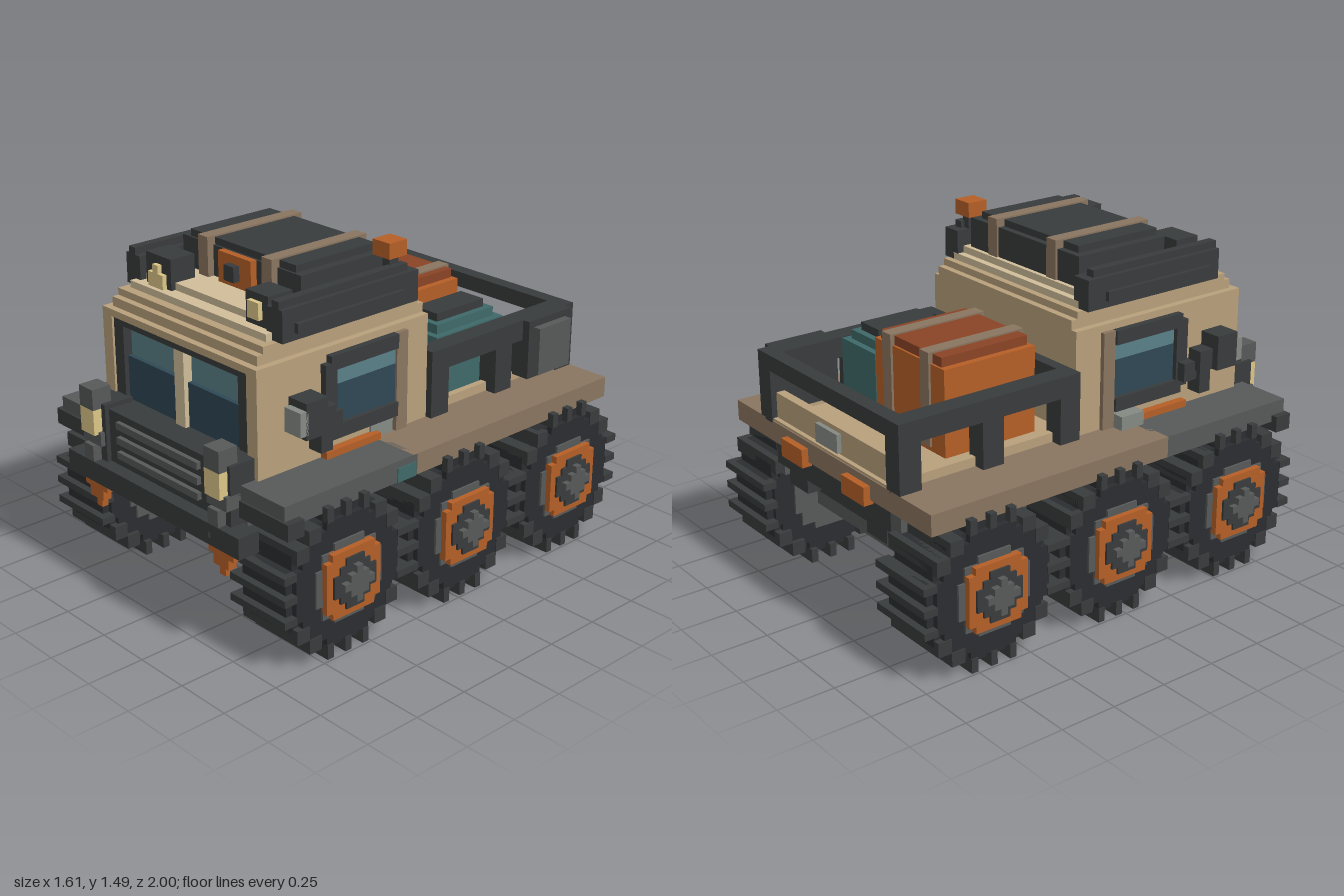
import * as THREE from 'three';

const C = {
  tan: 0xb8a07c, light: 0xd0bd9a, brown: 0x8a7560, dark: 0x383b3c, tire: 0x2a2d30, grey: 0x565957,
  pale: 0x858a84, orange: 0xb55f27, rust: 0x8a4426, teal: 0x3f6868, glass: 0x2f4854, sky: 0x5a8088, lamp: 0xdcc687,
};
const mats = {};
const mat = (c) => (mats[c] ??= new THREE.MeshStandardMaterial({ color: C[c], flatShading: true }));

// Box given by its limits on each axis
function box(parent, name, color, x0, x1, y0, y1, z0, z1) {
  const m = new THREE.Mesh(new THREE.BoxGeometry(x1 - x0, y1 - y0, z1 - z0), mat(color));
  m.position.set((x0 + x1) / 2, (y0 + y1) / 2, (z0 + z1) / 2);
  m.name = name;
  parent.add(m);
}
// The same box on both sides
function pair(parent, name, color, x0, x1, ...r) {
  box(parent, name, color, x0, x1, ...r);
  box(parent, name, color, -x1, -x0, ...r);
}
function group(parent, name) {
  const g = new THREE.Group();
  g.name = name;
  parent.add(g);
  return g;
}

// Blocky disc: each row of cells that pass the test becomes a few boxes
const V = 0.031;
function blockDisc(parent, name, color, x0, x1, test) {
  for (let j = -10; j <= 10; j++) {
    let start = null;
    for (let i = -10; i <= 11; i++) {
      const inside = i <= 10 && test(Math.hypot(i, j), Math.atan2(j, i), i, j);
      if (inside && start === null) start = i;
      if (!inside && start !== null) {
        box(parent, name, color, x0, x1, (j - 0.5) * V, (j + 0.5) * V, (start - 0.5) * V, (i - 0.5) * V);
        start = null;
      }
    }
  }
}

function wheel() {
  const g = new THREE.Group();
  g.name = 'wheel';
  blockDisc(g, 'tire', 'tire', 0.46, 0.71, (r) => r < 9.5);
  blockDisc(g, 'treadLug', 'dark', 0.42, 0.74, (r, a) => r >= 8.6 && r < 10.6 && Math.cos(a * 20) > -0.15);
  blockDisc(g, 'sidewall', 'tire', 0.44, 0.735, (r) => r > 4 && r < 8.6);
  blockDisc(g, 'rim', 'grey', 0.43, 0.745, (r) => r < 5.7);
  blockDisc(g, 'hubRing', 'orange', 0.74, 0.77, (r, a, i, j) => Math.max(Math.abs(i), Math.abs(j)) <= 4 && r < 5.2 && r > 2.9);
  blockDisc(g, 'hubPlate', 'dark', 0.74, 0.78, (r) => r < 3.2);
  blockDisc(g, 'hubCap', 'grey', 0.77, 0.805, (r) => r < 2.1);
  return g;
}

function buildChassis(p) {
  const g = group(p, 'chassis');
  box(g, 'frame', 'dark', -0.42, 0.42, 0.52, 0.64, -0.92, 0.9);
  pair(g, 'frameRail', 'dark', 0.22, 0.36, 0.44, 0.53, -0.9, 0.9);
  for (const z of [0.615, -0.03, -0.67]) {
    box(g, 'axle', 'grey', -0.44, 0.44, 0.27, 0.36, z - 0.06, z + 0.06);
    box(g, 'axleBeam', 'dark', -0.44, 0.44, 0.36, 0.46, z - 0.09, z + 0.09);
    for (const s of [1, -1]) {
      const w = wheel();
      w.position.set(0, 0.325, z);
      if (s < 0) w.rotation.y = Math.PI;
      g.add(w);
    }
  }
  // Front fenders
  pair(g, 'fender', 'grey', 0.42, 0.71, 0.62, 0.71, 0.22, 0.91);
  pair(g, 'fenderLip', 'dark', 0.42, 0.74, 0.58, 0.65, 0.84, 0.92);
  pair(g, 'fenderLiner', 'grey', 0.4, 0.46, 0.46, 0.62, -0.9, 0.88);
  box(g, 'fenderPatch', 'teal', 0.68, 0.715, 0.62, 0.68, 0.23, 0.33);
}

function buildFront(p) {
  const g = group(p, 'frontEnd');
  box(g, 'bumper', 'dark', -0.55, 0.55, 0.46, 0.55, 0.9, 1.0);
  box(g, 'grille', 'dark', -0.33, 0.33, 0.55, 0.78, 0.82, 0.94);
  for (const y of [0.59, 0.655, 0.72]) box(g, 'grilleBar', 'grey', -0.26, 0.26, y, y + 0.03, 0.9, 0.96);
  pair(g, 'lampPost', 'dark', 0.33, 0.46, 0.55, 0.8, 0.82, 0.96);
  pair(g, 'lampFoot', 'grey', 0.37, 0.43, 0.49, 0.62, 0.94, 1.0);
  pair(g, 'lampFootWide', 'grey', 0.34, 0.46, 0.62, 0.68, 0.91, 0.98);
  pair(g, 'headlight', 'lamp', 0.355, 0.445, 0.67, 0.78, 0.92, 1.0);
  pair(g, 'lampTop', 'grey', 0.355, 0.445, 0.78, 0.87, 0.91, 1.0);
  pair(g, 'towHook', 'orange', 0.33, 0.48, 0.41, 0.46, 0.93, 0.97);
  pair(g, 'towHookMiddle', 'orange', 0.36, 0.45, 0.365, 0.41, 0.93, 0.97);
  pair(g, 'towHookTip', 'orange', 0.385, 0.42, 0.325, 0.37, 0.93, 0.96);
}

function buildCab(p) {
  const g = group(p, 'cab');
  box(g, 'cabBody', 'tan', -0.48, 0.48, 0.64, 1.16, -0.06, 0.76);
  pair(g, 'frontPillar', 'tan', 0.42, 0.48, 0.62, 1.16, 0.76, 0.84);
  box(g, 'windshieldHeader', 'tan', -0.48, 0.48, 1.13, 1.16, 0.76, 0.84);
  box(g, 'cowl', 'dark', -0.42, 0.42, 0.62, 0.78, 0.76, 0.84);
  // Windshield
  pair(g, 'windshieldFrame', 'dark', 0.36, 0.42, 0.78, 1.13, 0.76, 0.83);
  box(g, 'windshieldFrameTop', 'dark', -0.36, 0.36, 1.1, 1.13, 0.76, 0.83);
  box(g, 'windshield', 'glass', -0.36, 0.36, 0.78, 0.97, 0.76, 0.81);
  box(g, 'windshieldUpper', 'sky', -0.36, 0.36, 0.97, 1.1, 0.76, 0.79);
  box(g, 'windshieldPost', 'light', -0.03, 0.03, 0.78, 1.1, 0.76, 0.83);
  // Stepped roof
  box(g, 'roofStep', 'tan', -0.45, 0.45, 1.16, 1.2, -0.06, 0.81);
  box(g, 'roofStep', 'tan', -0.45, 0.45, 1.2, 1.23, -0.03, 0.78);
  box(g, 'roofTop', 'light', -0.42, 0.42, 1.23, 1.26, 0, 0.74);
  box(g, 'roofPanel', 'light', -0.39, 0.39, 1.26, 1.29, 0.03, 0.68);
  // Doors, one set per side
  pair(g, 'doorFrameTop', 'dark', 0.47, 0.51, 1.07, 1.13, 0.13, 0.49);
  pair(g, 'doorFrameFront', 'dark', 0.47, 0.51, 0.81, 1.1, 0.46, 0.52);
  pair(g, 'doorFrameBottom', 'dark', 0.47, 0.51, 0.78, 0.84, 0.13, 0.49);
  pair(g, 'sideWindow', 'glass', 0.47, 0.49, 0.84, 1.0, 0.13, 0.46);
  pair(g, 'sideWindowUpper', 'sky', 0.47, 0.49, 1.0, 1.07, 0.13, 0.46);
  pair(g, 'doorPillar', 'brown', 0.47, 0.5, 0.71, 1.13, 0.07, 0.13);
  pair(g, 'sill', 'orange', 0.47, 0.515, 0.7, 0.74, 0.23, 0.52);
  box(g, 'sillPatch', 'pale', -0.55, -0.47, 0.71, 0.77, 0.13, 0.25);
  box(g, 'sillPatch', 'pale', 0.47, 0.49, 0.71, 0.78, 0.14, 0.26);
  // Mirrors
  pair(g, 'mirrorArm', 'dark', 0.5, 0.55, 0.84, 0.92, 0.47, 0.54);
  pair(g, 'mirrorArm', 'dark', 0.51, 0.58, 0.88, 0.97, 0.53, 0.61);
  pair(g, 'mirrorHousing', 'dark', 0.51, 0.61, 0.88, 1.03, 0.6, 0.71);
  pair(g, 'mirrorGlass', 'pale', 0.52, 0.61, 0.9, 1.0, 0.7, 0.74);
  pair(g, 'mirrorBrace', 'dark', 0.5, 0.57, 0.78, 0.88, 0.54, 0.6);
}

function buildRoofLoad(p) {
  const g = group(p, 'roofLoad');
  pair(g, 'rackRail', 'dark', 0.39, 0.48, 1.23, 1.36, 0, 0.71);
  pair(g, 'rackRailTop', 'dark', 0.42, 0.46, 1.36, 1.39, 0.04, 0.71);
  pair(g, 'rackRailSide', 'dark', 0.45, 0.5, 1.26, 1.3, 0.09, 0.65);
  box(g, 'roofCrate', 'dark', -0.36, 0.36, 1.27, 1.42, 0.05, 0.51);
  box(g, 'roofCrateLid', 'dark', -0.32, 0.32, 1.42, 1.45, 0.08, 0.5);
  pair(g, 'roofStrap', 'brown', 0.165, 0.225, 1.28, 1.457, 0.04, 0.54);
  box(g, 'roofLatch', 'orange', -0.1, 0.1, 1.29, 1.42, 0.48, 0.54);
  box(g, 'roofLatchCore', 'dark', -0.03, 0.03, 1.32, 1.385, 0.53, 0.57);
  // Roof lamps and beacon
  box(g, 'lampHousing', 'dark', 0.26, 0.39, 1.26, 1.39, 0.58, 0.7);
  box(g, 'roofLamp', 'lamp', 0.29, 0.355, 1.29, 1.36, 0.69, 0.72);
  box(g, 'lampHousing', 'dark', -0.36, -0.2, 1.26, 1.39, 0.58, 0.7);
  box(g, 'roofLamp', 'lamp', -0.325, -0.23, 1.26, 1.32, 0.69, 0.72);
  box(g, 'roofLampTip', 'lamp', -0.295, -0.26, 1.32, 1.355, 0.69, 0.72);
  box(g, 'beaconPost', 'dark', 0.39, 0.43, 1.36, 1.43, 0.06, 0.11);
  box(g, 'beacon', 'orange', 0.355, 0.45, 1.42, 1.485, 0.035, 0.13);
}

function buildBed(p) {
  const g = group(p, 'bed');
  box(g, 'bedFloor', 'tan', -0.44, 0.44, 0.63, 0.72, -0.93, -0.05);
  pair(g, 'bedEdge', 'brown', 0.42, 0.71, 0.62, 0.71, -0.935, 0.24);
  box(g, 'bedEdgeRear', 'brown', -0.44, 0.44, 0.62, 0.71, -0.935, -0.9);
  pair(g, 'bedSideTrim', 'tan', 0.43, 0.46, 0.7, 0.75, -0.9, -0.06);
  box(g, 'tailgate', 'tan', -0.43, 0.43, 0.71, 0.83, -0.91, -0.87);
  box(g, 'tailPlate', 'pale', -0.07, 0.09, 0.73, 0.81, -0.93, -0.9);
  pair(g, 'tailLight', 'orange', 0.145, 0.305, 0.6, 0.68, -0.965, -0.92);
  // Rail cage
  pair(g, 'bedRail', 'dark', 0.42, 0.51, 0.91, 1.0, -0.935, -0.06);
  box(g, 'bedRailRear', 'dark', -0.42, 0.42, 0.93, 1.0, -0.935, -0.87);
  box(g, 'bedRailFront', 'dark', -0.42, 0.42, 0.91, 1.0, -0.11, -0.06);
  for (const z of [-0.16, -0.545, -0.935]) pair(g, 'bedPost', 'dark', 0.42, 0.51, 0.7, 0.93, z, z + 0.1);
  // Side box
  box(g, 'sideBox', 'dark', 0.42, 0.545, 0.74, 1.0, -0.88, -0.61);
  box(g, 'sideBoxPanel', 'grey', 0.54, 0.58, 0.76, 0.97, -0.84, -0.64);
  // Large crate
  const c = group(g, 'largeCrate');
  box(c, 'crateBody', 'orange', -0.35, 0.125, 0.72, 1.09, -0.61, -0.165);
  box(c, 'crateLid', 'rust', -0.32, 0.095, 1.09, 1.13, -0.6, -0.18);
  for (const x of [-0.26, 0]) box(c, 'crateStrap', 'brown', x, x + 0.06, 0.74, 1.137, -0.62, -0.155);
  box(c, 'crateLatch', 'dark', -0.2, -0.03, 0.95, 1.02, -0.17, -0.13);
  // Small crate
  const s = group(g, 'smallCrate');
  box(s, 'crateBody', 'teal', 0.16, 0.41, 0.72, 1.0, -0.59, -0.19);
  box(s, 'crateLid', 'teal', 0.19, 0.38, 1.0, 1.04, -0.56, -0.22);
  box(s, 'crateHandle', 'dark', 0.22, 0.35, 1.04, 1.075, -0.53, -0.25);
}

export function createModel() {
  const model = new THREE.Group();
  model.name = 'sixWheelTruck';
  for (const build of [buildChassis, buildFront, buildCab, buildRoofLoad, buildBed]) build(model);
  return model;
}
